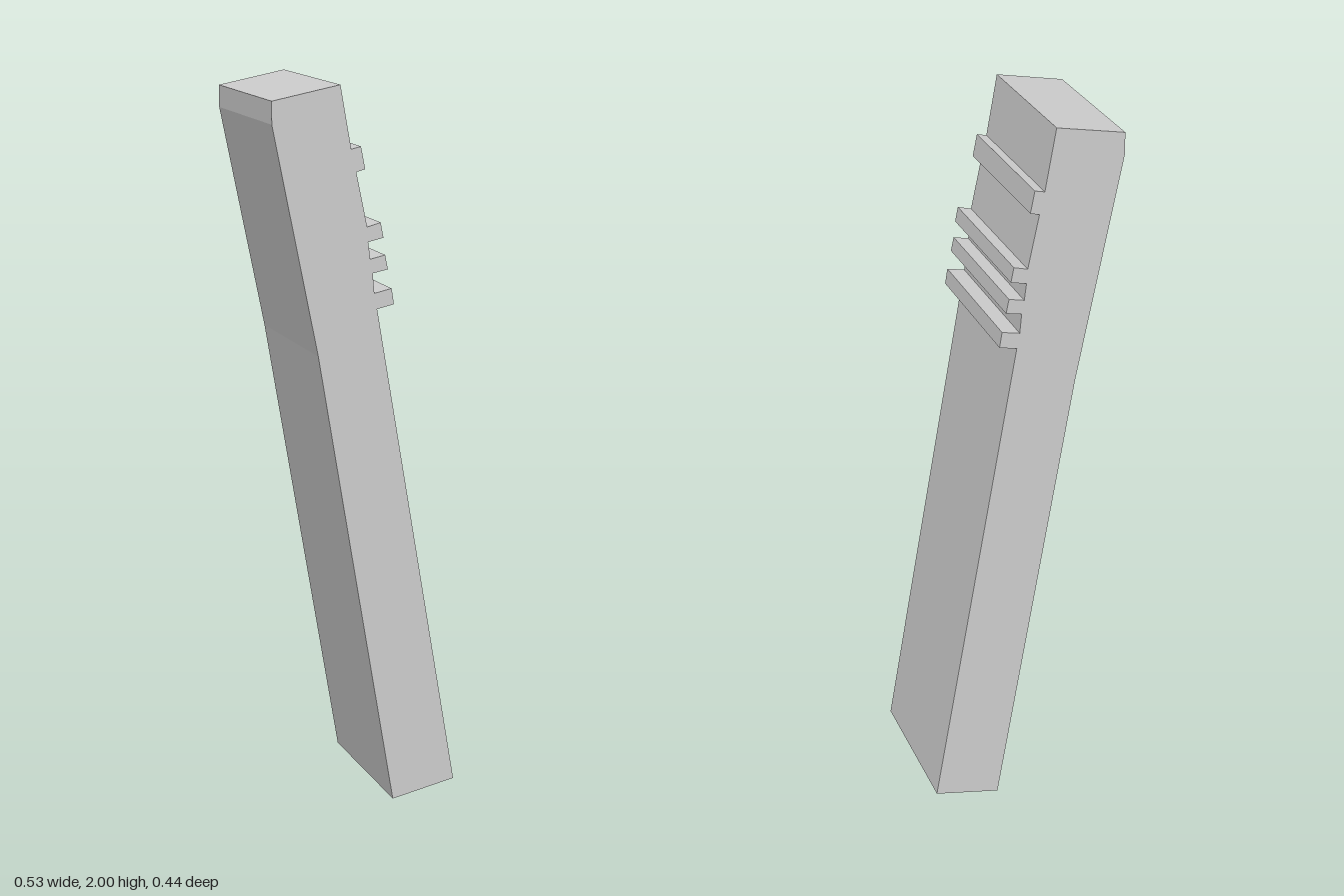
import * as THREE from 'three';

export function createModel() {
  const group = new THREE.Group();
  const material = new THREE.MeshStandardMaterial({ color: 0xcccccc, flatShading: true });
  const depth = 0.44;

  // Ribs along the grip's edge: lower inner, lower outer, upper outer, upper inner
  const ribs = [
    [[0.026, 1.406], [0.074, 1.416], [0.067, 1.459], [0.018, 1.449]],
    [[0.013, 1.503], [0.056, 1.511], [0.048, 1.55], [0.006, 1.541]],
    [[0, 1.587], [0.043, 1.596], [0.035, 1.637], [-0.003, 1.627]],
    [[-0.034, 1.773], [-0.009, 1.779], [-0.021, 1.839], [-0.048, 1.833]],
  ];

  // Leaning bar outline, counter-clockwise from its lowest corner
  const outline = [
    [0.08, 0], [0.264, 0.035],
    ...ribs.flat(),
    [-0.078, 2], [-0.265, 1.965], [-0.265, 1.905], [-0.14, 1.29],
  ];

  const shape = new THREE.Shape(outline.map(([x, y]) => new THREE.Vector2(x, y)));
  const geometry = new THREE.ExtrudeGeometry(shape, { depth, bevelEnabled: false });
  geometry.translate(0, 0, -depth / 2);

  const grip = new THREE.Mesh(geometry, material);
  grip.name = 'ribbedGrip';
  group.add(grip);
  return group;
}
